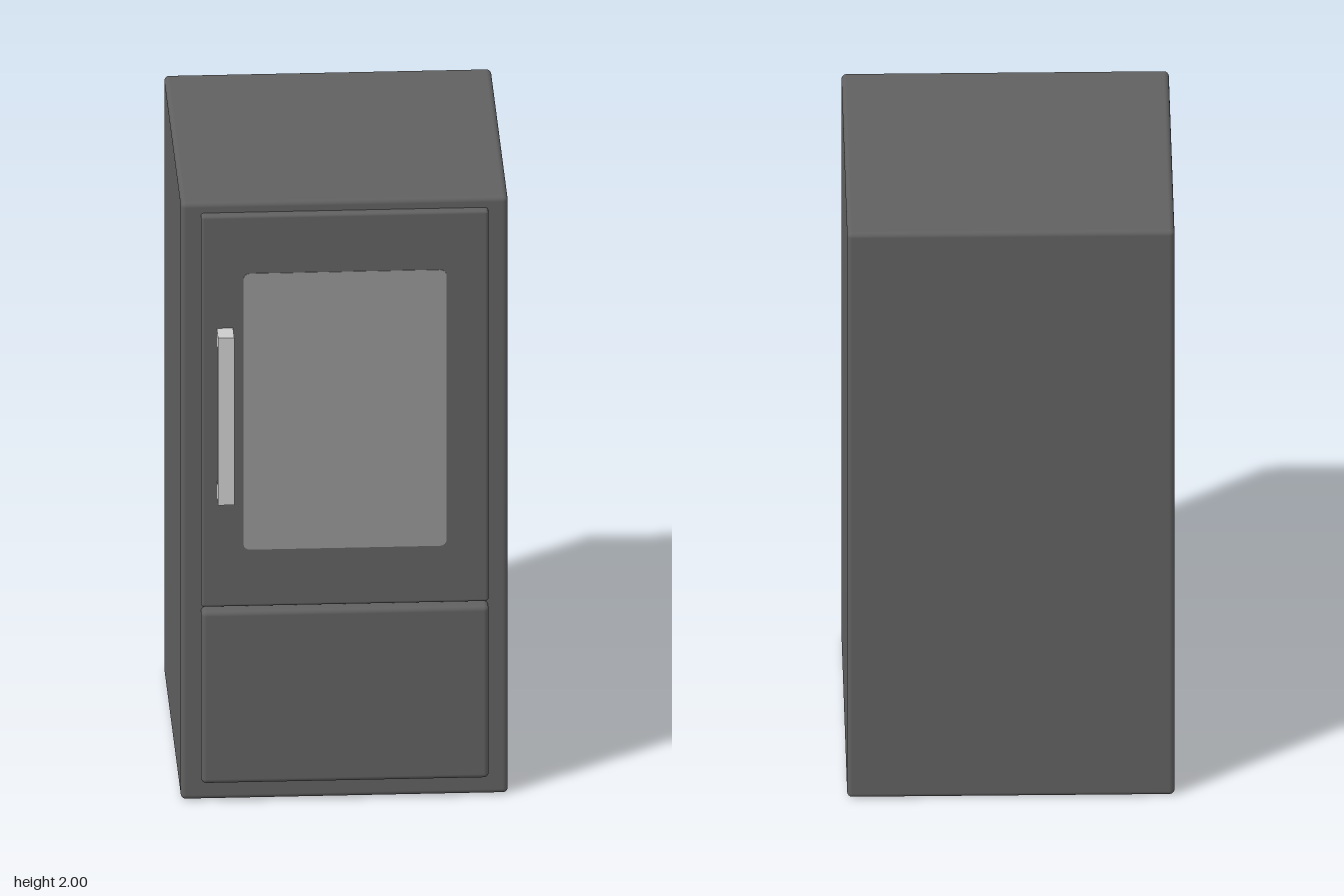
import * as THREE from 'three';
import { RoundedBoxGeometry } from 'three/addons/geometries/RoundedBoxGeometry.js';

const paint = (color) => new THREE.MeshStandardMaterial({ color });

export function createModel() {
  const group = new THREE.Group();
  const dark = paint(0x606060), pane = paint(0x939393), metal = paint(0xcccccc);

  const add = (parent, name, geometry, material) => {
    const mesh = new THREE.Mesh(geometry, material);
    mesh.name = name;
    parent.add(mesh);
    return mesh;
  };
  // Box with softened edges, given by its limits on each axis
  const roundedPart = (name, [x0, x1], [y0, y1], [z0, z1], radius) => {
    const geo = new RoundedBoxGeometry(x1 - x0, y1 - y0, z1 - z0, 4, radius);
    geo.translate((x0 + x1) / 2, (y0 + y1) / 2, (z0 + z1) / 2);
    return add(group, name, geo, dark);
  };

  // Cabinet, door and lower drawer front
  roundedPart('cabinet', [-0.504, 0.504], [0, 2], [-0.555, 0.452], 0.016);
  roundedPart('door', [-0.443, 0.443], [0.655, 1.966], [0.43, 0.478], 0.01);
  roundedPart('drawerFront', [-0.443, 0.443], [0.07, 0.648], [0.42, 0.496], 0.016);

  // Window pane with rounded corners, almost flush with the door
  const w = 0.313, y0 = 0.847, y1 = 1.772, r = 0.02;
  const outline = new THREE.Shape();
  outline.absarc(w - r, y0 + r, r, -Math.PI / 2, 0);
  outline.absarc(w - r, y1 - r, r, 0, Math.PI / 2);
  outline.absarc(-w + r, y1 - r, r, Math.PI / 2, Math.PI);
  outline.absarc(-w + r, y0 + r, r, Math.PI, Math.PI * 1.5);
  const glass = new THREE.ExtrudeGeometry(outline, { depth: 0.02, bevelEnabled: false, curveSegments: 6 });
  add(group, 'windowPane', glass, pane).position.z = 0.46;

  // Bracket handle, extruded sideways from its side profile
  const profile = new THREE.Shape([
    [0.47, 1.03], [0.555, 1.03], [0.555, 1.59], [0.47, 1.59],
    [0.47, 1.54], [0.533, 1.54], [0.533, 1.078], [0.47, 1.078],
  ].map(([z, y]) => new THREE.Vector2(z, y)));
  const handle = new THREE.ExtrudeGeometry(profile, { depth: 0.05, bevelEnabled: false });
  handle.rotateY(-Math.PI / 2);
  add(group, 'doorHandle', handle, metal).position.x = -0.345;

  return group;
}
